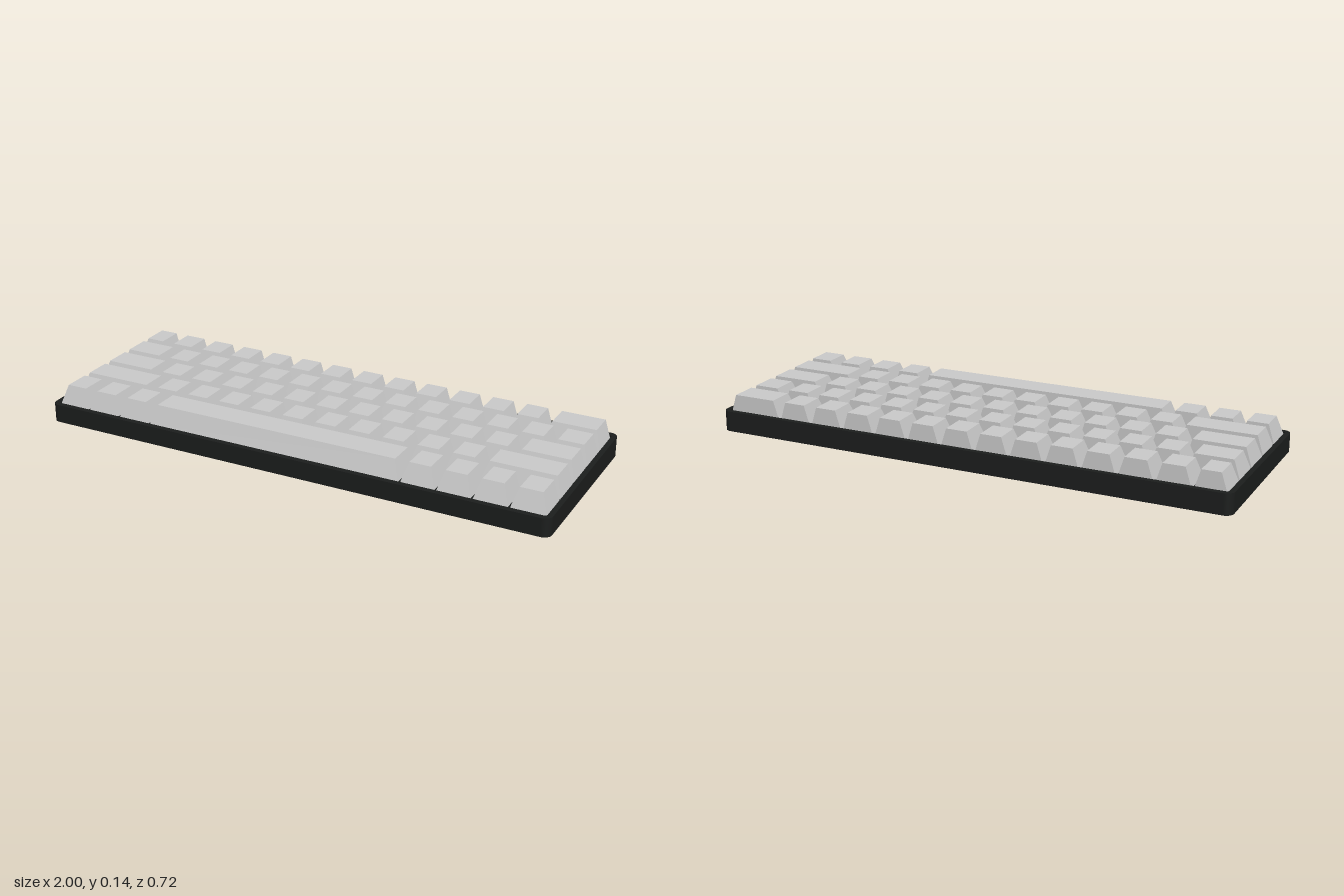
import * as THREE from 'three';

const keyMat = new THREE.MeshStandardMaterial({ color: 0xcccccc, flatShading: true });
const caseMat = new THREE.MeshStandardMaterial({ color: 0x1c1e1d });

const FLOOR = 0.065, KEY_TOP = 0.138, PITCH = 0.1347, GAP = 0.008;
const LEFT = -0.975, RIGHT = 0.985;

// Rounded rectangle outline, used for the case and its opening
function roundedRect(Type, hw, hd, r) {
  const s = new Type();
  s.absarc(hw - r, hd - r, r, 0, Math.PI / 2);
  s.absarc(-hw + r, hd - r, r, Math.PI / 2, Math.PI);
  s.absarc(-hw + r, -hd + r, r, Math.PI, Math.PI * 1.5);
  s.absarc(hw - r, -hd + r, r, Math.PI * 1.5, Math.PI * 2);
  s.closePath();
  return s;
}

// Upright slab extruded from an outline
function slab(shape, y0, y1) {
  const g = new THREE.ExtrudeGeometry(shape, { depth: y1 - y0, bevelEnabled: false, curveSegments: 6 });
  g.rotateX(-Math.PI / 2);
  g.translate(0, y0, 0);
  return g;
}

// Keycap: sloped sides and front, upright back
function keycap(x0, x1, zFront) {
  const depth = 0.125, h = KEY_TOP - FLOOR;
  const g = new THREE.BoxGeometry(x1 - x0, h, depth);
  const p = g.attributes.position;
  for (let i = 0; i < p.count; i++) {
    if (p.getY(i) < 0) continue;
    p.setX(i, p.getX(i) - Math.sign(p.getX(i)) * 0.023);
    if (p.getZ(i) > 0) p.setZ(i, p.getZ(i) - 0.024);
  }
  g.computeVertexNormals();
  const m = new THREE.Mesh(g, keyMat);
  m.position.set((x0 + x1) / 2, FLOOR + h / 2, zFront - depth / 2);
  return m;
}

// Key edges: a first key, a run of equal keys, then a last key
function run(first, count) {
  const e = [LEFT];
  for (let i = 0; i <= count; i++) e.push(first + i * PITCH);
  e.push(RIGHT);
  return e;
}

export function createModel() {
  const model = new THREE.Group();
  model.name = 'keyboard';

  // Case: solid base and a rim that rises slightly to the back
  const body = new THREE.Group();
  body.name = 'case';
  const base = new THREE.Mesh(slab(roundedRect(THREE.Shape, 1, 0.36, 0.03), 0, FLOOR), caseMat);
  base.name = 'caseBase';
  const rimShape = roundedRect(THREE.Shape, 1, 0.36, 0.03);
  rimShape.holes.push(roundedRect(THREE.Path, 0.98, 0.339, 0.01));
  const rimGeo = slab(rimShape, FLOOR, 0.074);
  const p = rimGeo.attributes.position;
  for (let i = 0; i < p.count; i++) {
    if (p.getY(i) > 0.07) p.setY(i, 0.074 - p.getZ(i) * 0.011);
  }
  const rim = new THREE.Mesh(rimGeo, caseMat);
  rim.name = 'caseRim';
  body.add(base, rim);
  model.add(body);

  // Key rows from back to front
  const rows = [
    ['numberRow', run(-0.851, 12)],
    ['upperLetterRow', run(-0.781, 12)],
    ['homeRow', run(-0.729, 11)],
    ['lowerLetterRow', run(-0.66, 10)],
    ['spaceBarRow', [LEFT, -0.842, -0.707, -0.572, 0.449, 0.583, 0.716, 0.849, RIGHT]],
  ];
  rows.forEach(([name, edges], r) => {
    const row = new THREE.Group();
    row.name = name;
    for (let i = 0; i < edges.length - 1; i++) {
      const key = keycap(edges[i], edges[i + 1] - GAP, 0.333 - (4 - r) * 0.135);
      key.name = edges[i + 1] - edges[i] > 0.8 ? 'spaceBar' : 'key';
      row.add(key);
    }
    model.add(row);
  });
  return model;
}
